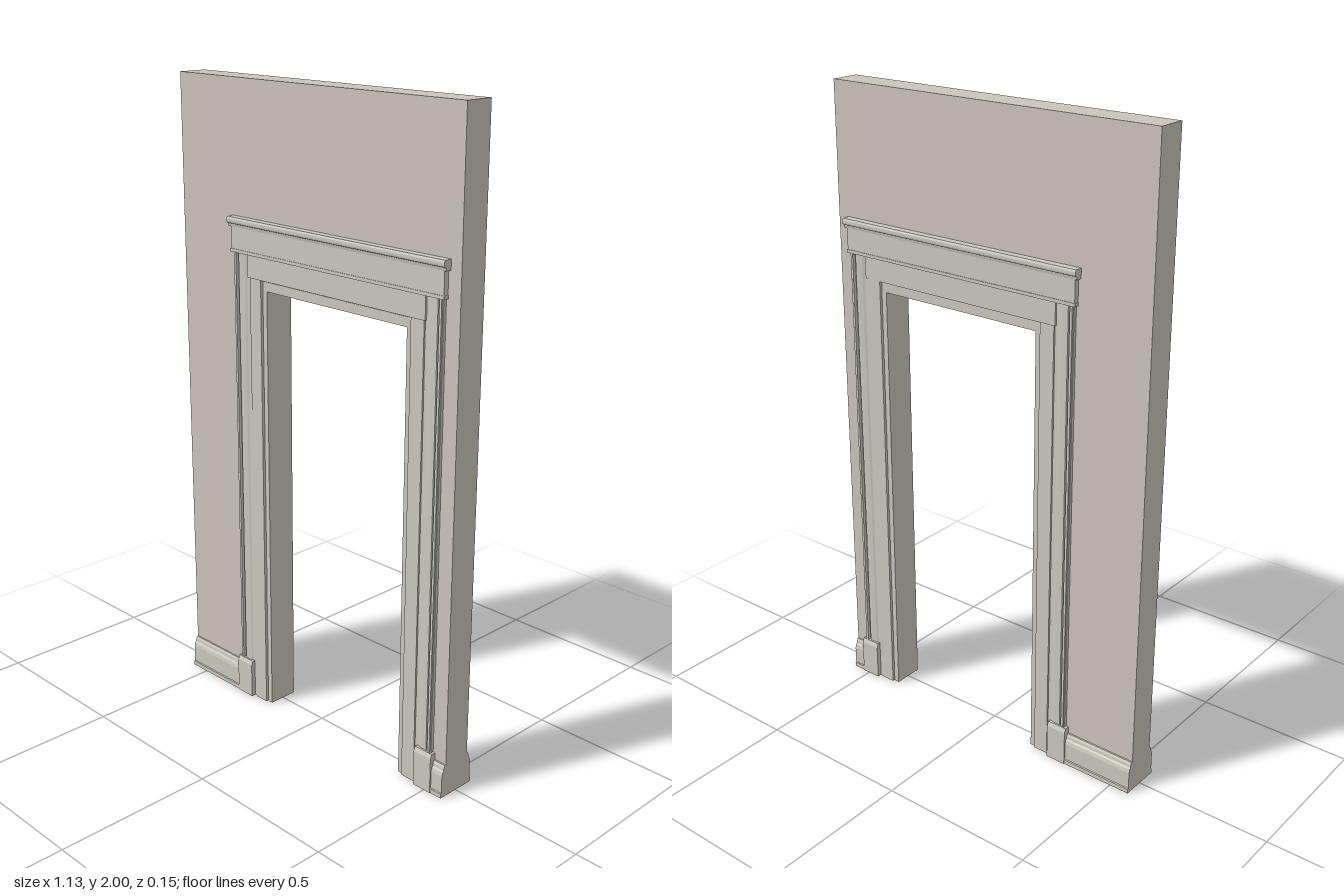
import * as THREE from 'three';

const CX = 0.0975; // centre line of the doorway
const WALL = 0.047; // half thickness of the wall

export function createModel() {
  const model = new THREE.Group();
  model.name = 'doorway';
  const wallPaint = new THREE.MeshStandardMaterial({ name: 'wall paint', color: 0xcbc4bb });
  const trimPaint = new THREE.MeshStandardMaterial({ name: 'trim paint', color: 0xcbc7bc });

  const add = (parent, name, geometry, material = trimPaint) => {
    const mesh = new THREE.Mesh(geometry, material);
    mesh.name = name;
    parent.add(mesh);
  };
  const polygon = (points) => new THREE.Shape(points.map(([x, y]) => new THREE.Vector2(x, y)));
  const extrude = (shape, depth) => new THREE.ExtrudeGeometry(shape, { depth, bevelEnabled: false });

  // Box between two corners
  const box = (x0, x1, y0, y1, z0, z1) => {
    const g = new THREE.BoxGeometry(x1 - x0, y1 - y0, Math.abs(z1 - z0));
    return g.translate((x0 + x1) / 2, (y0 + y1) / 2, (z0 + z1) / 2);
  };
  // Moulding along x, from a [z, y] section
  const alongX = (section, x0, x1, s) =>
    extrude(polygon(section.map(([z, y]) => [-s * z, y])), x1 - x0).rotateY(Math.PI / 2).translate(x0, 0, 0);
  // Moulding up y, from a [distance from centre line, z] section
  const alongY = (section, y0, y1, side, s) =>
    extrude(polygon(section.map(([d, z]) => [CX + side * d, -s * z])), y1 - y0)
      .rotateX(-Math.PI / 2).translate(0, y0, 0);

  // Wall with the opening cut out
  const wall = polygon([
    [-0.565, 0], [-0.185, 0], [-0.185, 1.385], [0.38, 1.385],
    [0.38, 0], [0.565, 0], [0.565, 2], [-0.565, 2],
  ]);
  add(model, 'wall', extrude(wall, WALL * 2).translate(0, 0, -WALL), wallPaint);

  const skirtingSection = [
    [0.04, 0], [0.066, 0], [0.066, 0.014], [0.063, 0.016], [0.063, 0.072],
    [0.06, 0.083], [0.056, 0.088], [0.055, 0.097], [0.051, 0.104], [0.04, 0.106],
  ];
  const pilasterSection = [
    [0.352, 0.04], [0.352, 0.053], [0.365, 0.053], [0.372, 0.056], [0.386, 0.057],
    [0.398, 0.057], [0.401, 0.052], [0.404, 0.052], [0.406, 0.061], [0.414, 0.061],
    [0.415, 0.057], [0.418, 0.057], [0.418, 0.04],
  ];
  const plinthSection = [
    [0.04, 0], [0.068, 0], [0.068, 0.113], [0.062, 0.127], [0.04, 0.127],
  ];
  const corniceSection = [
    [0.04, 1.565], [0.065, 1.565], [0.067, 1.574], [0.072, 1.576],
    [0.074, 1.581], [0.074, 1.589], [0.071, 1.595], [0.04, 1.595],
  ];

  // The same trim on both faces of the wall
  for (const s of [1, -1]) {
    const trim = new THREE.Group();
    trim.name = s > 0 ? 'frontTrim' : 'backTrim';
    model.add(trim);

    add(trim, 'wideSkirting', alongX(skirtingSection, -0.565, -0.325, s));
    add(trim, 'narrowSkirting', alongX(skirtingSection, 0.522, 0.565, s));

    for (const side of [-1, 1]) {
      const span = (a, b) => [CX + side * a, CX + side * b].sort((p, q) => p - q);
      add(trim, 'pilaster', alongY(pilasterSection, 0, 1.49, side, s));
      add(trim, 'plinthBlock', alongX(plinthSection, ...span(0.36, 0.426), s));
      add(trim, 'innerCasing', box(...span(0.302, 0.35), 0, 1.42, s * 0.04, s * 0.056));
      add(trim, 'innerBead', box(...span(0.2825, 0.297), 0, 1.4, s * 0.04, s * 0.049));
    }

    // Head of the frame, bottom to top
    add(trim, 'headBead', box(CX - 0.297, CX + 0.297, 1.385, 1.414, s * 0.04, s * 0.049));
    add(trim, 'headCasing', box(CX - 0.356, CX + 0.356, 1.418, 1.49, s * 0.04, s * 0.059));
    add(trim, 'frieze', box(CX - 0.423, CX + 0.423, 1.49, 1.57, s * 0.04, s * 0.063));
    add(trim, 'friezeLip', box(CX - 0.425, CX + 0.425, 1.488, 1.498, s * 0.04, s * 0.065));
    add(trim, 'cornice', alongX(corniceSection, CX - 0.431, CX + 0.431, s));
  }
  return model;
}
